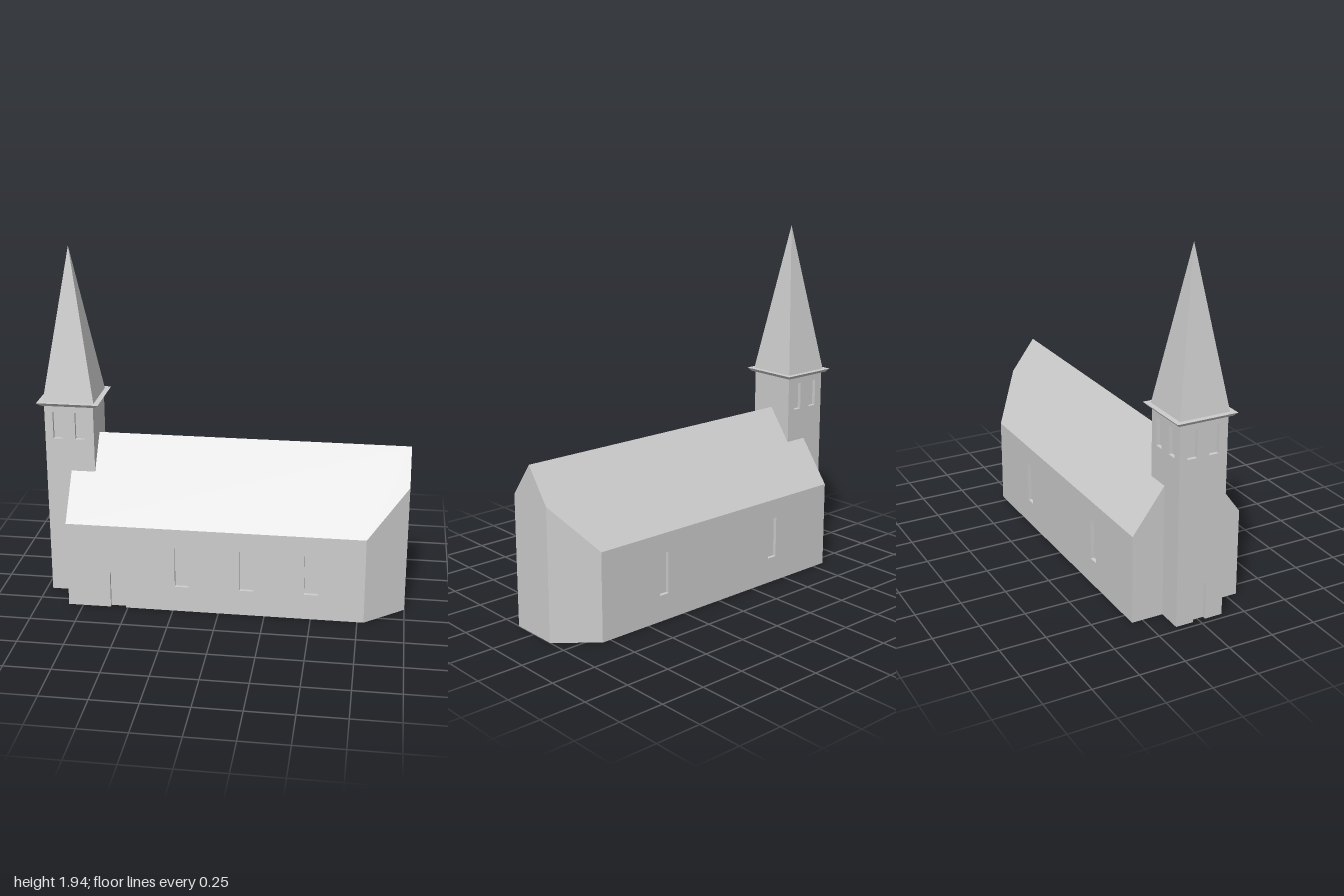
import * as THREE from 'three';
import { ConvexGeometry } from 'three/addons/geometries/ConvexGeometry.js';

const DEPTH = 0.02; // how far doors and windows are set into the walls

export function createModel() {
  const church = new THREE.Group();
  church.name = 'church';
  const stone = new THREE.MeshStandardMaterial({ color: 0xcccccc });
  stone.name = 'pale grey';

  const add = (parent, name, geometry) => {
    const mesh = new THREE.Mesh(geometry, stone);
    mesh.name = name;
    parent.add(mesh);
    return mesh;
  };

  // Outer wall skin from x0 to x1 with window holes [centre, bottom, top, width]
  // and an optional door notch [left, right, top]
  const wallSkin = (parent, name, x0, x1, height, windows, door) => {
    const pts = [[x0, 0]];
    if (door) pts.push([door[0], 0], [door[0], door[2]], [door[1], door[2]], [door[1], 0]);
    pts.push([x1, 0], [x1, height], [x0, height]);
    const shape = new THREE.Shape(pts.map(([x, y]) => new THREE.Vector2(x, y)));
    for (const [c, y0, y1, w] of windows) {
      const a = c - w / 2, b = c + w / 2;
      shape.holes.push(new THREE.Path([
        new THREE.Vector2(a, y0), new THREE.Vector2(a, y1),
        new THREE.Vector2(b, y1), new THREE.Vector2(b, y0),
      ]));
    }
    return add(parent, name, new THREE.ExtrudeGeometry(shape, { depth: DEPTH, bevelEnabled: false }));
  };

  // Four-sided frustum or pyramid with flat faces
  const squareTaper = (topHalf, bottomHalf, height) => {
    const g = new THREE.CylinderGeometry(topHalf * Math.SQRT2, bottomHalf * Math.SQRT2, height, 4)
      .rotateY(Math.PI / 4).toNonIndexed();
    g.computeVertexNormals();
    return g;
  };

  // ---- Nave ----
  const nave = new THREE.Group();
  nave.name = 'nave';
  church.add(nave);
  const west = -0.83, frontCorner = 0.785, backCorner = 0.8;
  const halfWidth = 0.31, endHalf = 0.135, eave = 0.483, ridge = 0.904;
  const inner = halfWidth - DEPTH;

  // Wall core with the angled east end; the shape's y becomes -z
  const footprint = new THREE.Shape([
    [west, -inner], [frontCorner, -inner], [frontCorner, -halfWidth], [1, -endHalf],
    [1, endHalf], [backCorner, halfWidth], [backCorner, inner], [west, inner],
  ].map(([x, y]) => new THREE.Vector2(x, y)));
  add(nave, 'naveCore', new THREE.ExtrudeGeometry(footprint, { depth: eave, bevelEnabled: false })
    .rotateX(-Math.PI / 2));

  const naveWindow = (x, w) => [x, 0.145, 0.375, w];
  wallSkin(nave, 'frontWall', west, frontCorner, eave,
    [-0.2, 0.153, 0.5].map((x) => naveWindow(x, 0.075)), [-0.595, -0.51, 0.21])
    .position.z = inner;
  const backWall = wallSkin(nave, 'backWall', -backCorner, -west, eave,
    [-0.39, 0.405].map((x) => naveWindow(x, 0.06)));
  backWall.rotation.y = Math.PI;
  backWall.position.z = -inner;

  // Gabled roof trimmed by the angled east end
  const trimY = eave + (ridge - eave) * (1 - endHalf / halfWidth);
  add(nave, 'naveRoof', new ConvexGeometry([
    [west, eave, halfWidth], [west, eave, -halfWidth], [west, ridge, 0],
    [frontCorner, eave, halfWidth], [backCorner, eave, -halfWidth], [1, ridge, 0],
    [1, eave, endHalf], [1, eave, -endHalf], [1, trimY, endHalf], [1, trimY, -endHalf],
  ].map((p) => new THREE.Vector3(...p))));

  // ---- Tower ----
  const tower = new THREE.Group();
  tower.name = 'tower';
  tower.position.x = -0.833;
  church.add(tower);
  const half = 0.134, towerTop = 1.1, core = half - DEPTH;

  add(tower, 'towerCore', new THREE.BoxGeometry(core + half, towerTop, core * 2)
    .translate(DEPTH / 2, towerTop / 2, 0));
  const belfry = [-0.063, 0.058].map((x) => [x, 0.905, 1.055, 0.053]);

  wallSkin(tower, 'towerFrontWall', -half, half, towerTop, belfry).position.z = core;
  const towerBack = wallSkin(tower, 'towerBackWall', -half, half, towerTop, belfry);
  towerBack.rotation.y = Math.PI;
  towerBack.position.z = -core;
  const towerWest = wallSkin(tower, 'towerWestWall', -core, core, towerTop, belfry, [-0.036, 0.036, 0.21]);
  towerWest.rotation.y = -Math.PI / 2;
  towerWest.position.x = -core;

  // Flared cornice and spire
  add(tower, 'cornice', squareTaper(0.168, 0.15, 0.019)).position.y = 1.1035;
  const spireHeight = 0.823;
  add(tower, 'spire', squareTaper(0, 0.139, spireHeight)).position.y = 1.113 + spireHeight / 2;

  return church;
}
